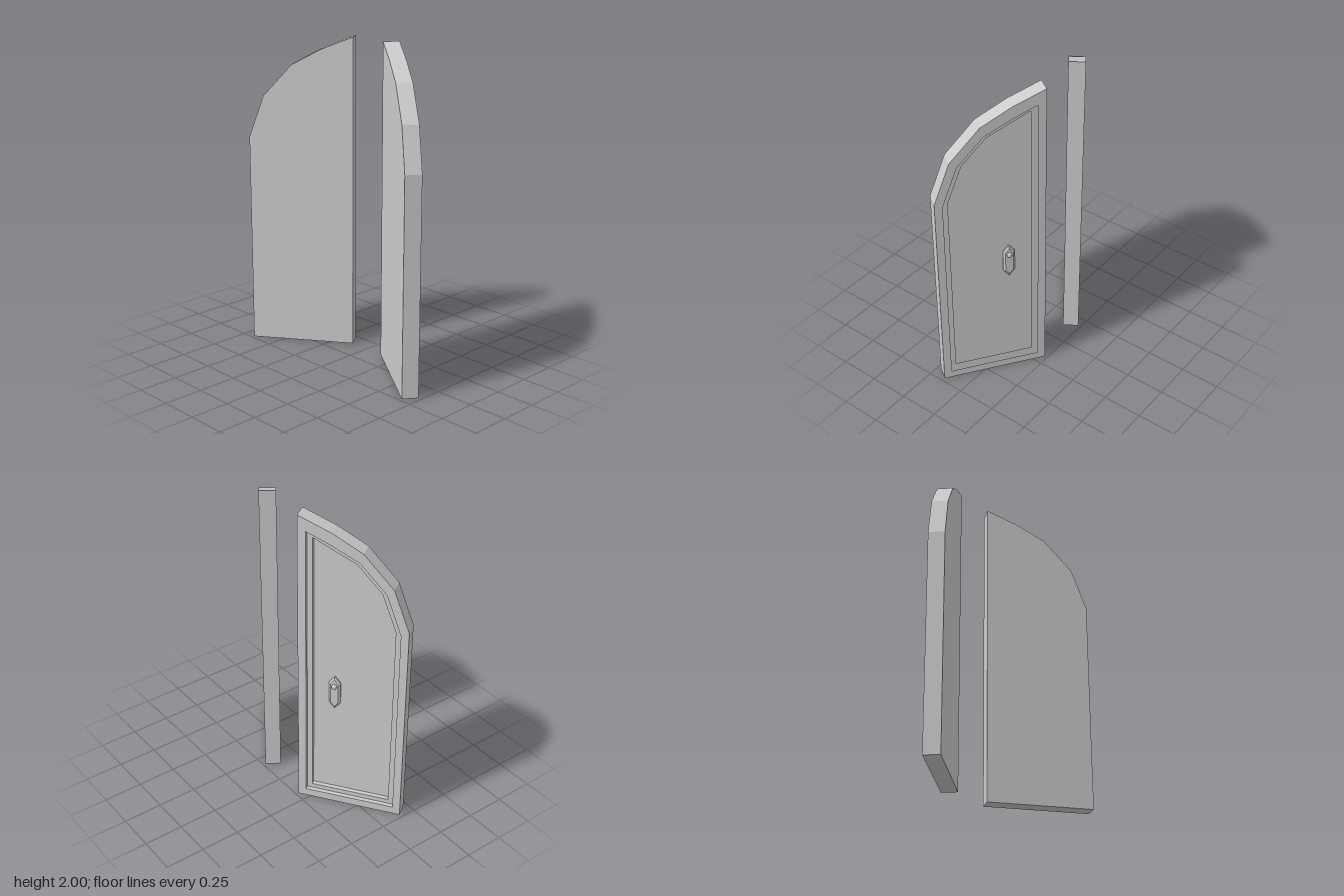
import * as THREE from 'three';

const THICK = 0.1, STEP = 0.027;

// Profiles as [distance from the tall edge, height]
const OUTLINE = [[0, 0], [0.664, 0], [0.664, 1.355], [0.568, 1.62], [0.386, 1.82], [0.2, 1.92], [0, 2]];
const OPENING = [[0.05, 0.05], [0.616, 0.05], [0.616, 1.33], [0.526, 1.583], [0.365, 1.758], [0.205, 1.838], [0.05, 1.905]];
const PANEL = [[0.083, 0.08], [0.58, 0.08], [0.58, 1.33], [0.493, 1.568], [0.345, 1.73], [0.195, 1.803], [0.083, 1.858]];

const material = new THREE.MeshStandardMaterial({ color: 0xcccccc, flatShading: true });

function createLeaf(dir) {
  const leaf = new THREE.Group();
  const points = (list) => list.map(([s, y]) => new THREE.Vector2(dir * s, y));
  const add = (name, geometry, x, y, z) => {
    const mesh = new THREE.Mesh(geometry, material);
    mesh.name = name;
    mesh.position.set(x, y, z);
    leaf.add(mesh);
  };
  const slab = (name, hole, depth, z) => {
    const shape = new THREE.Shape(points(OUTLINE));
    if (hole) shape.holes.push(new THREE.Path(points(hole)));
    add(name, new THREE.ExtrudeGeometry(shape, { depth, bevelEnabled: false }), 0, 0, z);
  };

  // Solid back board with two stepped frames in front of it
  const panelZ = -2 * STEP;
  slab('backBoard', null, THICK - 2 * STEP, -THICK);
  slab('innerFrame', PANEL, STEP, panelZ);
  slab('outerFrame', OPENING, STEP, -STEP);

  // Chamfered hexagonal handle plate
  const hexagon = new THREE.Shape([[0, -0.098], [0.024, -0.067], [0.024, 0.067], [0, 0.098], [-0.024, 0.067], [-0.024, -0.067]]
    .map(([x, y]) => new THREE.Vector2(x, y)));
  const plate = new THREE.ExtrudeGeometry(hexagon, {
    depth: 0.008, bevelThickness: 0.01, bevelSize: 0.012, bevelSegments: 1,
  });
  add('handlePlate', plate, dir * 0.217, 0.814, panelZ);

  // Small round knob on the plate
  const knob = new THREE.SphereGeometry(0.017, 12, 8);
  knob.scale(1, 1, 0.8);
  add('knob', knob, dir * 0.217, 0.864, panelZ + 0.022);
  return leaf;
}

export function createModel() {
  const model = new THREE.Group();
  model.name = 'doubleDoor';
  // Two mirrored leaves, each swung open by 35 degrees
  for (const side of [1, -1]) {
    const leaf = createLeaf(-side);
    leaf.name = side > 0 ? 'frontLeaf' : 'rearLeaf';
    leaf.position.set(0.2315, 0, side * 0.1835);
    leaf.rotation.y = THREE.MathUtils.degToRad(90 - side * 35);
    model.add(leaf);
  }
  return model;
}
